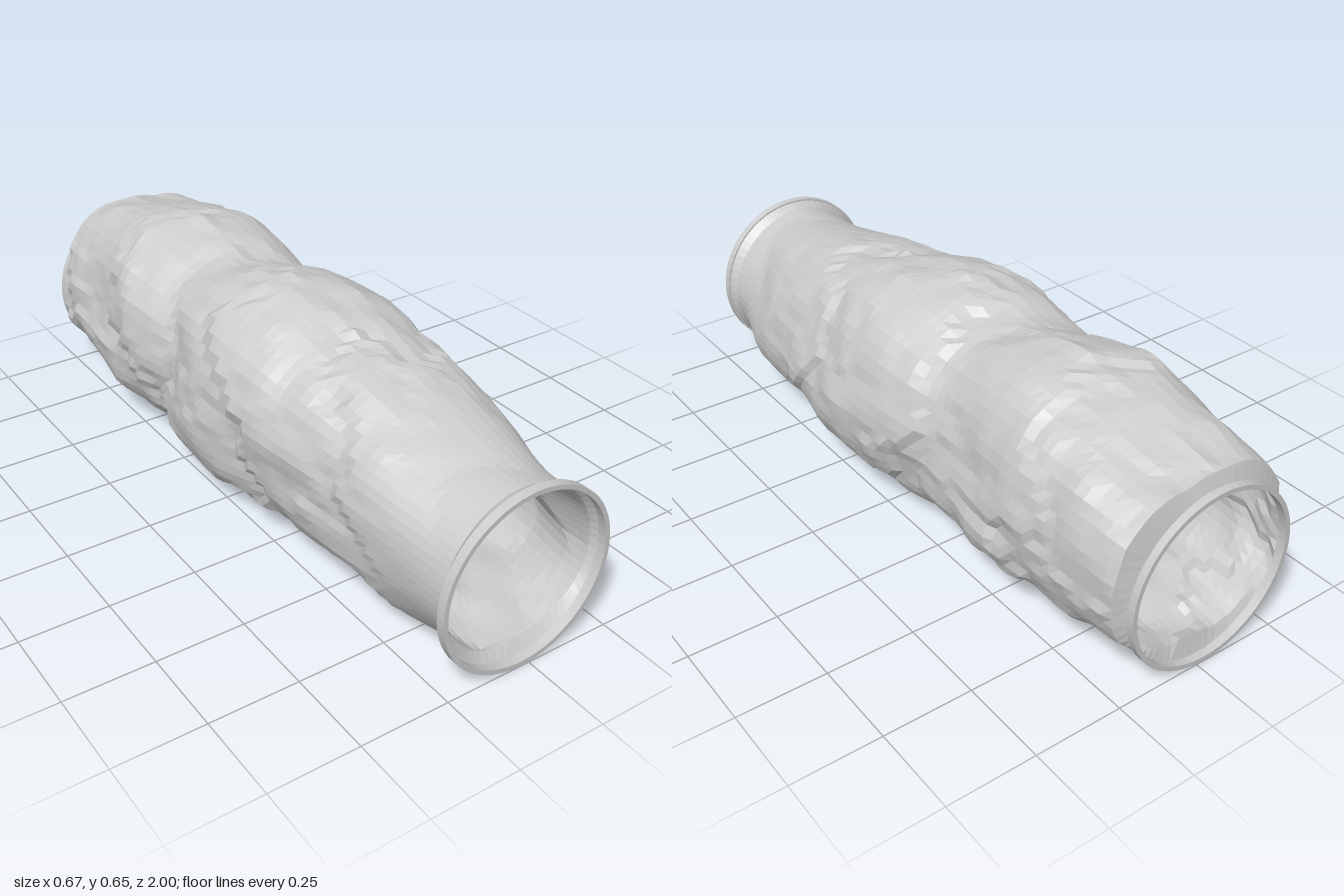
import * as THREE from 'three';

const CX = -0.025, CY = 0.263;
const AROUND = 60, ALONG = 64, Z0 = -0.965, Z1 = 0.95;

// Wall extents along the tunnel:
// [z, top, bottom, left side (-x), right side (+x), squareness, squareness of the upper right shoulder]
const STATIONS = [
  [-0.965, 0.545, 0.07, -0.295, 0.255, 2.1, 3.8],
  [-0.90, 0.56, 0.07, -0.30, 0.27, 2.2, 3.6],
  [-0.80, 0.59, 0.065, -0.29, 0.28, 2.4, 3.3],
  [-0.70, 0.61, 0.058, -0.30, 0.285, 2.5, 3.0],
  [-0.60, 0.635, 0.05, -0.32, 0.295, 2.6, 2.7],
  [-0.50, 0.643, 0.04, -0.33, 0.29, 2.6, 2.6],
  [-0.37, 0.625, 0.035, -0.31, 0.27, 2.6, 2.6],
  [-0.27, 0.60, 0.025, -0.28, 0.265, 2.6, 2.6],
  [-0.20, 0.61, 0.02, -0.305, 0.265, 2.6, 2.6],
  [-0.10, 0.632, 0.015, -0.32, 0.295, 2.6, 2.5],
  [0.00, 0.642, 0.012, -0.325, 0.31, 2.6, 2.5],
  [0.10, 0.638, 0.02, -0.32, 0.32, 2.6, 2.5],
  [0.20, 0.622, 0.03, -0.305, 0.325, 2.6, 2.5],
  [0.30, 0.597, 0.04, -0.29, 0.31, 2.5, 2.5],
  [0.50, 0.565, 0.04, -0.27, 0.285, 2.5, 2.4],
  [0.70, 0.525, 0.012, -0.26, 0.27, 2.3, 2.2],
  [0.85, 0.50, 0.035, -0.247, 0.22, 2.1, 2.0],
  [0.95, 0.50, 0.05, -0.245, 0.215, 2.0, 2.0],
];

// Bulges of the lining into the passage: [angle, z, depth]
const BULGES = [[Math.PI - 0.2, 0.6, 0.045], [0.85, 0.6, 0.065], [0.2, 0.7, 0.015]];

function station(z) {
  let i = 0;
  while (i < STATIONS.length - 2 && z > STATIONS[i + 1][0]) i++;
  const a = STATIONS[i], b = STATIONS[i + 1];
  const t = THREE.MathUtils.clamp((z - a[0]) / (b[0] - a[0]), 0, 1);
  return a.map((v, k) => v + (b[k] - v) * t);
}

// Seeded value noise, -0.5..0.5
function hash(x, y, z) {
  const s = Math.sin(x * 127.1 + y * 311.7 + z * 74.7) * 43758.5453;
  return s - Math.floor(s);
}
function noise(x, y, z) {
  const ix = Math.floor(x), iy = Math.floor(y), iz = Math.floor(z);
  const s = (t) => t * t * (3 - 2 * t);
  const fx = s(x - ix), fy = s(y - iy), fz = s(z - iz);
  let sum = -0.5;
  for (let c = 0; c < 8; c++) {
    const dx = c & 1, dy = (c >> 1) & 1, dz = c >> 2;
    sum += hash(ix + dx, iy + dy, iz + dz) *
      (dx ? fx : 1 - fx) * (dy ? fy : 1 - fy) * (dz ? fz : 1 - fz);
  }
  return sum;
}

// Rock surface: squared oval section with shallow hollows, grain and slanted ledges
function rockPoint(a, z) {
  const c = Math.cos(a), s = Math.sin(a);
  const [, top, bottom, left, right, square, shoulder] = station(z + 0.05 * Math.sin(4 * a));
  const n = c > 0 && s > 0 ? shoulder : square;
  const halfW = c > 0 ? right - CX : CX - left;
  const halfH = s > 0 ? top - CY : CY - bottom;
  const oval = Math.pow(Math.abs(c / halfW) ** n + Math.abs(s / halfH) ** n, -1 / n);
  const slope = 1 - 0.06 * Math.max(0, c) * Math.max(0, s);
  const rough = THREE.MathUtils.smoothstep(0.95 - z, 0.05, 0.6);
  const hollow = noise(c * 2 + 5, s * 2 + 9, z * 4 + 20);
  const grain = noise(c * 7 + 30, s * 7 + 11, z * 14 + 50);
  const seam = z * 1.9 + 0.3 * Math.sin(a + 0.8) + noise(c * 3, s * 3, z * 3 + 7) * 0.6;
  const ledge = seam - Math.floor(seam);
  const relief = 0.014 * hollow + 0.018 * grain + 0.014 * (0.3 - ledge ** 3);
  const r = oval * slope + rough * relief;
  return [CX + c * r, CY + s * r, z];
}

// Inner lining: slightly inside the rock, with a nearly level floor
function liningPoint(a, z) {
  const [x, y] = rockPoint(a, z);
  const dx = x - CX, dy = y - CY;
  const end = THREE.MathUtils.smoothstep(0.96 - Math.abs(z), 0, 0.2);
  let depth = 0.004 + 0.016 * end;
  for (const [ba, bz, d] of BULGES) {
    depth += d * Math.exp(-(((z - bz) / 0.2) ** 2) - ((a - ba) / 0.35) ** 2);
  }
  const k = 1 - depth / Math.hypot(dx, dy);
  const floor = 0.065 + end * (0.03 + 0.03 * noise(x * 12, 3, z * 8));
  return [CX + dx * k, Math.max(CY + dy * k, floor), z];
}

// Surface from rows of points, closed around the tunnel
function skin(rows, inward) {
  const idx = [], cols = AROUND + 1;
  for (let j = 0; j < rows.length - 1; j++) {
    for (let i = 0; i < AROUND; i++) {
      const a = j * cols + i, b = a + 1, c = a + cols, d = c + 1;
      if (inward) idx.push(a, c, b, b, c, d);
      else idx.push(a, b, c, b, d, c);
    }
  }
  const g = new THREE.BufferGeometry();
  g.setAttribute('position', new THREE.Float32BufferAttribute(rows.flat(2), 3));
  g.setIndex(idx);
  g.computeVertexNormals();
  return g;
}

// One row of points at depth z
function row(point, z) {
  return Array.from({ length: AROUND + 1 }, (_, i) => point((i % AROUND) / AROUND * Math.PI * 2, z));
}
function rows(point) {
  return Array.from({ length: ALONG + 1 }, (_, j) => row(point, Z0 + (Z1 - Z0) * j / ALONG));
}
const mouthPoint = (a, z) => [CX + 0.25 * Math.cos(a), CY + 0.25 * Math.sin(a), z];

export function createModel() {
  const group = new THREE.Group();
  const rock = new THREE.MeshStandardMaterial({
    color: 0xcccccc, flatShading: true, side: THREE.DoubleSide,
  });
  const add = (name, geometry) => {
    const mesh = new THREE.Mesh(geometry, rock);
    mesh.name = name;
    group.add(mesh);
    return mesh;
  };

  add('rockWall', skin(rows(rockPoint), false));
  add('innerLining', skin(rows(liningPoint), true));

  // Strips closing the gap between the rock's ends and the rims
  add('frontCollar', skin([row(rockPoint, Z1), row(mouthPoint, 0.975)], false));
  add('backCollar', skin([row(mouthPoint, -0.98), row(rockPoint, Z0)], false));

  // Round rims at both mouths
  const profile = [[0.242, 0], [0.255, 0], [0.255, 0.025], [0.242, 0.025], [0.242, 0]]
    .map(([r, h]) => new THREE.Vector2(r, h));
  for (const [name, z] of [['frontRim', 0.975], ['backRim', -1]]) {
    const rim = add(name, new THREE.LatheGeometry(profile, 64));
    rim.rotation.x = Math.PI / 2;
    rim.position.set(CX, CY, z);
  }
  return group;
}
